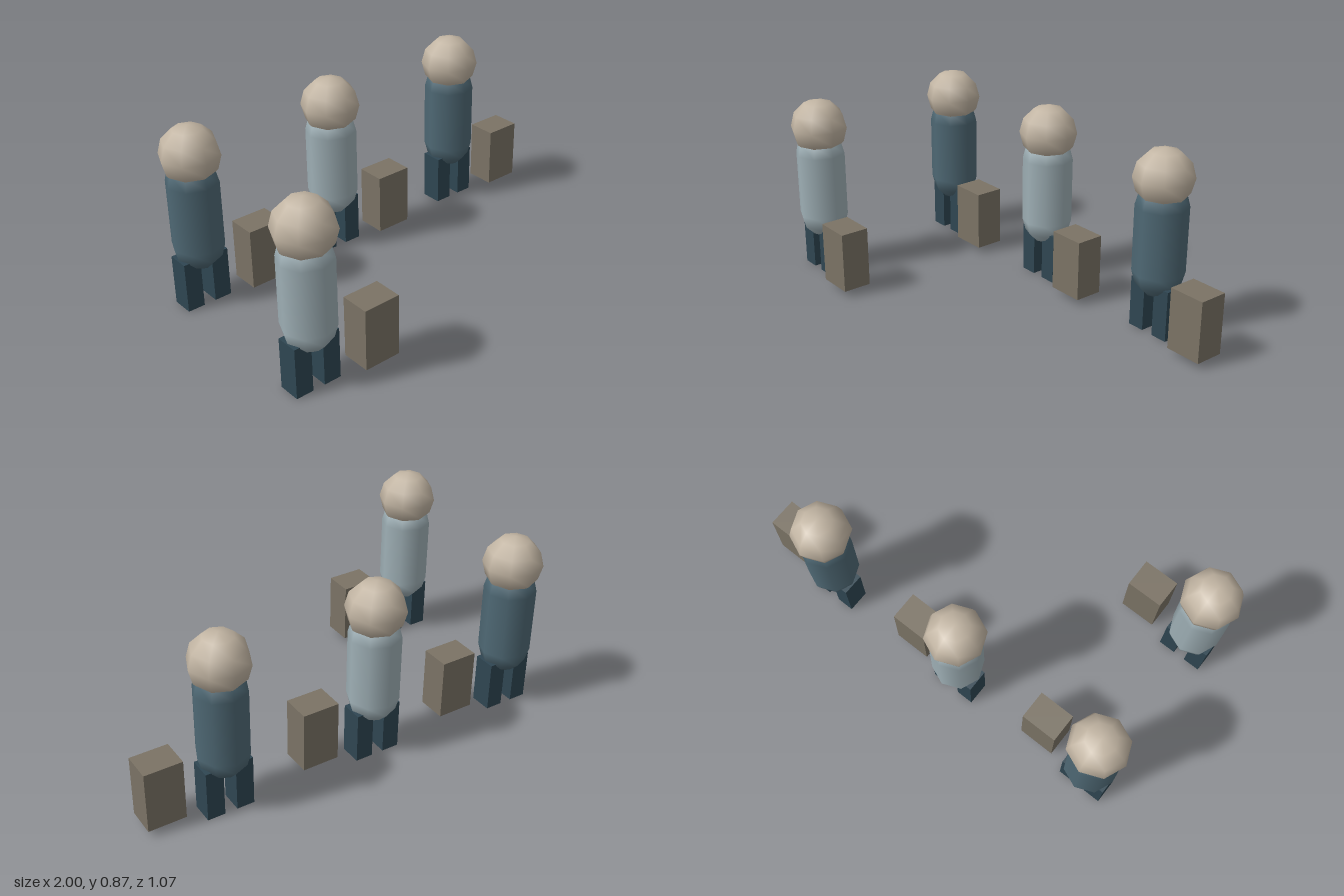
import * as THREE from 'three';

const mat = (name, color) => {
  const m = new THREE.MeshStandardMaterial({ color });
  m.name = name;
  return m;
};

export function createModel() {
  const skin = mat('tan skin', 0xc2b5a3);
  const paleShirt = mat('pale blue shirt', 0x9fb0b6);
  const darkShirt = mat('slate blue shirt', 0x4f6975);
  const trousers = mat('dark trousers', 0x2f4652);
  const luggage = mat('brown luggage', 0x7b7365);

  // Shared shapes
  const headGeo = new THREE.SphereGeometry(0.1365, 8, 6);
  const bodyGeo = new THREE.CapsuleGeometry(0.119, 0.31, 3, 8);
  const legGeo = new THREE.BoxGeometry(0.082, 0.24, 0.104);
  const caseGeo = new THREE.BoxGeometry(0.176, 0.29, 0.138);

  const add = (parent, name, geo, material, x, y, z) => {
    const mesh = new THREE.Mesh(geo, material);
    mesh.name = name;
    mesh.position.set(x, y, z);
    parent.add(mesh);
  };

  // One standing person with a suitcase at their left side
  const person = (shirt) => {
    const g = new THREE.Group();
    add(g, 'head', headGeo, skin, 0, 0.73, 0);
    add(g, 'body', bodyGeo, shirt, 0, 0.446, 0);
    add(g, 'rightLeg', legGeo, trousers, -0.07, 0.12, 0);
    add(g, 'leftLeg', legGeo, trousers, 0.07, 0.12, 0);
    add(g, 'suitcase', caseGeo, luggage, 0.278, 0.175, 0.053);
    return g;
  };

  // Three people in the back row, one in front, shirts alternating
  const model = new THREE.Group();
  model.name = 'queue';
  for (let i = 0; i < 4; i++) {
    const p = person(i % 2 ? paleShirt : darkShirt);
    p.name = 'person' + (i + 1);
    p.position.set(-0.8635 + (i % 3) * 0.749, 0, i < 3 ? -0.4 : 0.4);
    model.add(p);
  }
  return model;
}
